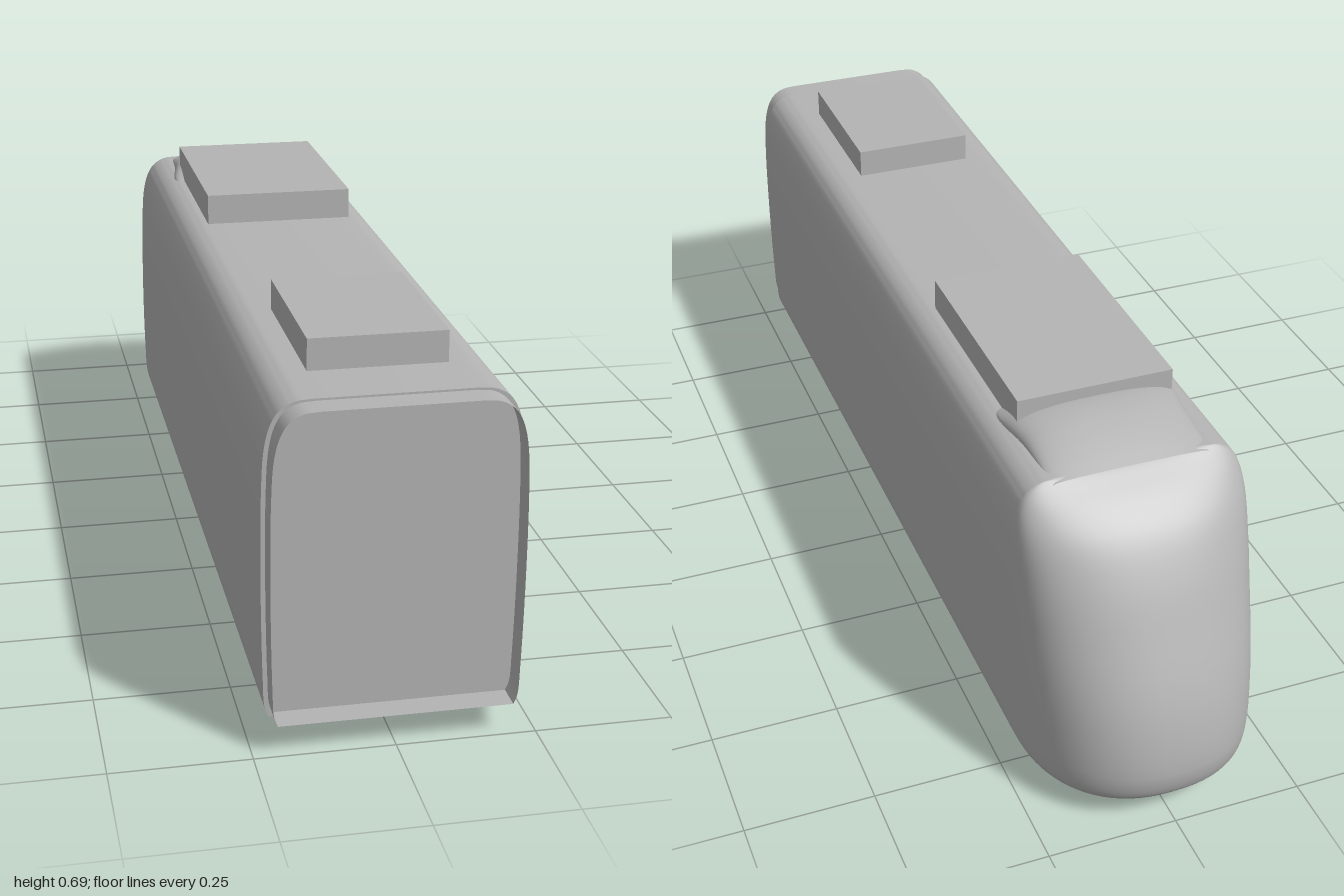
import * as THREE from 'three';
import { toCreasedNormals } from 'three/addons/utils/BufferGeometryUtils.js';

const NOSE_Z = -0.73; // where the straight body meets the nose
const END_Z = 0.95;   // end wall of the straight body

// Side line from floor to roof: half width, height, nose depth at that height
const side = new THREE.CatmullRomCurve3([
  [0.215, 0.05, 0.245], [0.222, 0.07, 0.26], [0.2245, 0.12, 0.27], [0.227, 0.24, 0.25],
  [0.2275, 0.38, 0.194], [0.226, 0.47, 0.153], [0.222, 0.54, 0.11], [0.212, 0.585, 0.065],
  [0.195, 0.613, 0.028], [0.17, 0.627, 0.008], [0.14, 0.63, 0],
].map((p) => new THREE.Vector3(...p))).getPoints(40);

// Closed cross-section of the body
function sectionShape() {
  const right = side.map((p) => new THREE.Vector2(p.x, p.y));
  const left = right.map((p) => new THREE.Vector2(-p.x, p.y)).reverse();
  return new THREE.Shape([...right, ...left]);
}

// Surface from a function of u and v in 0..1; faces towards v cross u
function gridSurface(cols, rows, point) {
  const pos = [], index = [];
  for (let j = 0; j <= rows; j++) {
    for (let i = 0; i <= cols; i++) {
      pos.push(...point(i / cols, j / rows));
      if (i < cols && j < rows) {
        const a = j * (cols + 1) + i, b = a + cols + 1;
        index.push(a, b, a + 1, a + 1, b, b + 1);
      }
    }
  }
  const g = new THREE.BufferGeometry();
  g.setAttribute('position', new THREE.Float32BufferAttribute(pos, 3));
  g.setIndex(index);
  g.computeVertexNormals();
  return g;
}

// Rounded plan outline of the nose at one height
function nosePoint(u, p) {
  const a = (u - 0.5) * Math.PI, e = 2 / 2.3;
  const x = Math.sign(a) * Math.pow(Math.abs(Math.sin(a)), e) * p.x;
  const z = NOSE_Z - Math.pow(Math.max(0, Math.cos(a)), e) * p.z;
  return [x, p.y, z];
}

export function createModel() {
  const model = new THREE.Group();
  const grey = new THREE.MeshStandardMaterial({ color: 0xb4b4b4 });
  grey.name = 'grey';
  const greyOpen = new THREE.MeshStandardMaterial({ color: 0xb4b4b4, side: THREE.DoubleSide });
  greyOpen.name = 'greyOpen';

  const add = (name, geometry, material = grey, x = 0, y = 0, z = 0) => {
    const mesh = new THREE.Mesh(geometry, material);
    mesh.name = name;
    mesh.position.set(x, y, z);
    model.add(mesh);
    return mesh;
  };

  // Straight carriage body
  const bodyGeo = new THREE.ExtrudeGeometry(sectionShape(), { depth: END_Z - NOSE_Z, bevelEnabled: false });
  add('body', toCreasedNormals(bodyGeo, 0.6), grey, 0, 0, NOSE_Z);

  // Sloping rounded nose and its floor
  add('nose', gridSurface(40, side.length - 1, (u, v) => nosePoint(u, side[Math.round(v * (side.length - 1))])));
  const floor = [];
  for (let i = 0; i <= 40; i++) {
    const [x, , z] = nosePoint(i / 40, side[0]);
    floor.push(new THREE.Vector2(x, z));
  }
  const floorGeo = new THREE.ShapeGeometry(new THREE.Shape(floor)).rotateX(Math.PI / 2);
  add('noseFloor', floorGeo, grey, 0, side[0].y, 0);

  // Open connecting collar around the end wall
  const ring = [...side.map((p) => [p.x, p.y]), ...side.map((p) => [-p.x, p.y]).reverse()];
  ring.push(ring[0]);
  const collarGeo = gridSurface(ring.length - 1, 1, (u, v) => {
    const [x, y] = ring[Math.round(u * (ring.length - 1))];
    return [x * 0.965, 0.342 + (y - 0.34) * 0.98, END_Z - 0.005 + v * 0.055];
  });
  add('endCollar', toCreasedNormals(collarGeo, 0.6), greyOpen);

  // Roof fairing sweeping down to the nose: z, half width, top height
  const fairing = new THREE.CatmullRomCurve3([
    [0.168, 0.634, -0.49], [0.172, 0.65, -0.52], [0.168, 0.668, -0.56], [0.16, 0.669, -0.61],
    [0.157, 0.658, -0.66], [0.155, 0.643, -0.705], [0.15, 0.629, -0.74],
  ].map((p) => new THREE.Vector3(...p))).getPoints(20);
  add('roofFairing', gridSurface(24, 20, (u, v) => {
    const p = fairing[Math.round(v * 20)], a = u * Math.PI;
    const x = Math.sign(Math.cos(a)) * Math.pow(Math.abs(Math.cos(a)), 0.75) * p.x;
    return [x, 0.622 + Math.pow(Math.max(0, Math.sin(a)), 0.75) * (p.y - 0.622), p.z];
  }), greyOpen);

  // Roof equipment boxes
  const roofBox = (name, width, top, z0, z1) =>
    add(name, new THREE.BoxGeometry(width, top - 0.625, z1 - z0), grey, 0, (top + 0.625) / 2, (z0 + z1) / 2);
  roofBox('noseEndRoofBox', 0.306, 0.692, -0.57, -0.115);
  roofBox('rearRoofBox', 0.248, 0.688, 0.48, 0.82);

  // Small wheels, half hidden in the floor
  for (const z of [0.26, 0.605]) {
    for (const s of [-1, 1]) {
      const wheelGeo = new THREE.CylinderGeometry(0.0525, 0.0525, 0.018, 8).rotateZ(Math.PI / 2);
      add(s > 0 ? 'leftWheel' : 'rightWheel', wheelGeo, grey, s * 0.144, 0.0525, z);
    }
  }
  return model;
}
